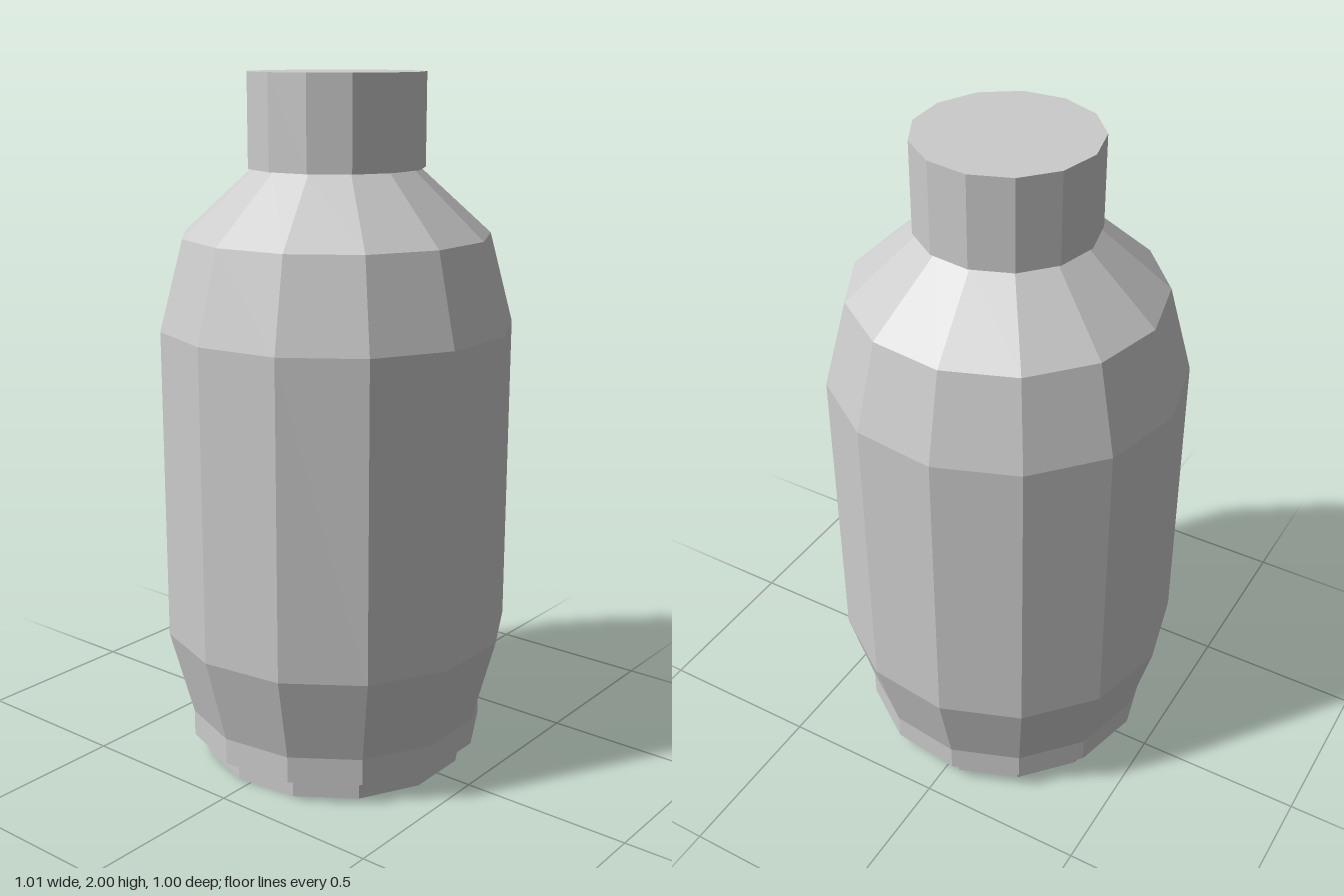
import * as THREE from 'three';

const SIDES = 13;

export function createModel() {
  const model = new THREE.Group();
  model.name = 'bottle';
  const material = new THREE.MeshStandardMaterial({ color: 0xcccccc, flatShading: true });

  // Faceted turned part; profile is [radius, height] from bottom to top, one corner at the back
  function turned(name, profile) {
    const points = profile.map(([r, y]) => new THREE.Vector2(r, y));
    const mesh = new THREE.Mesh(new THREE.LatheGeometry(points, SIDES, Math.PI), material);
    mesh.name = name;
    mesh.position.z = 0.007; // centres the odd-sided outline on z = 0
    model.add(mesh);
  }

  // Inset foot
  turned('base', [[0, 0], [0.393, 0], [0.393, 0.07]]);

  // Body with lower rim, tapered ends and sloping shoulder
  turned('body', [
    [0, 0.068], [0.44, 0.068], [0.44, 0.145], [0.508, 0.4],
    [0.508, 1.3], [0.44, 1.555], [0.236, 1.74],
  ]);

  // Cap, slightly wider than the top of the shoulder
  turned('cap', [[0, 1.74], [0.252, 1.74], [0.252, 2], [0, 2]]);

  return model;
}
